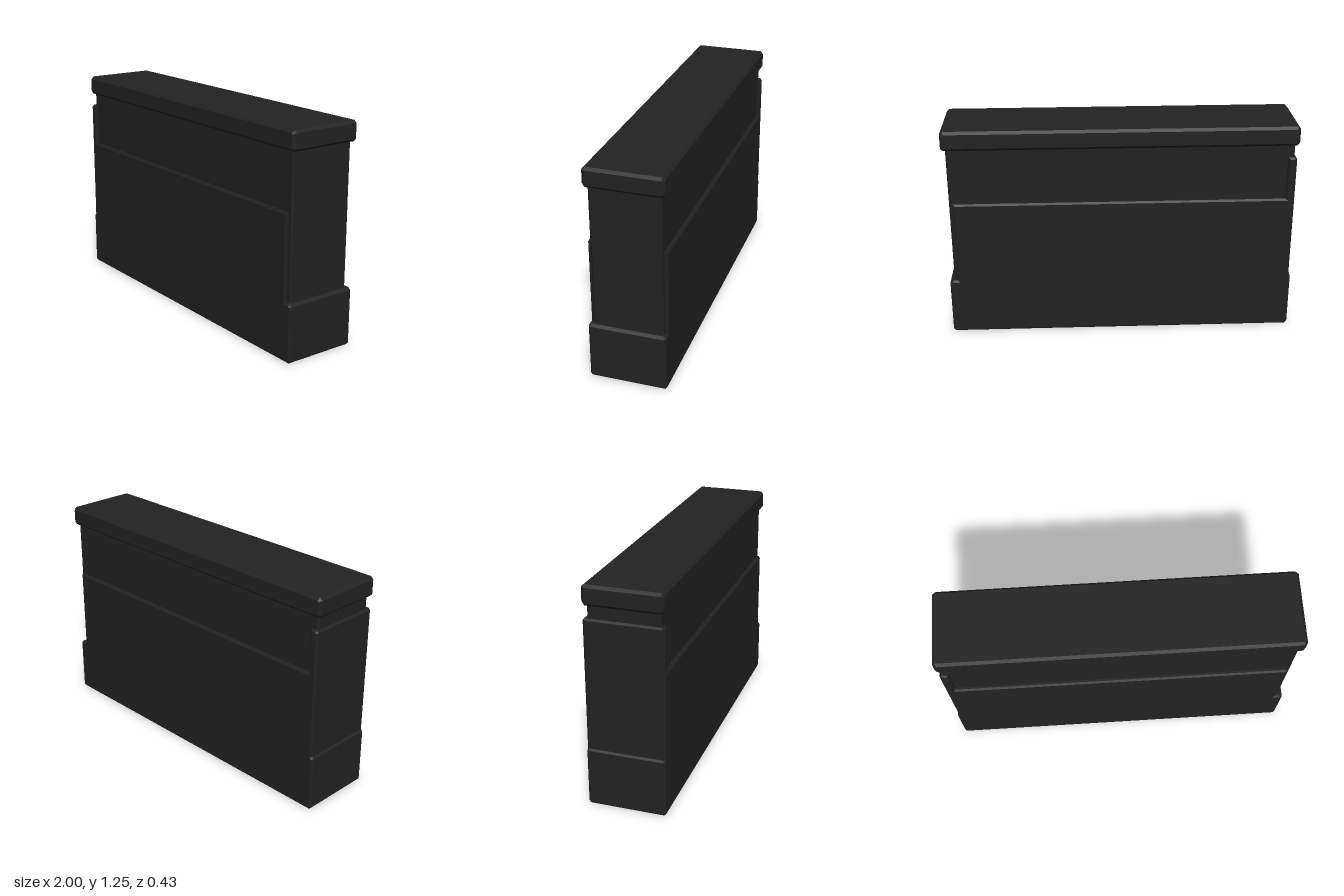
import * as THREE from 'three';

const casing = new THREE.MeshStandardMaterial({ color: 0x222222 });
casing.name = 'charcoal casing';

// Extrude a front outline to +-halfDepth with chamfered front and back rims
function slab(name, points, halfDepth, bevel) {
  const shape = new THREE.Shape(points.map(([x, y]) => new THREE.Vector2(x, y)));
  const depth = 2 * (halfDepth - bevel);
  const geometry = new THREE.ExtrudeGeometry(shape, {
    depth, bevelEnabled: true, bevelThickness: bevel, bevelSize: bevel,
    bevelOffset: -bevel, bevelSegments: 1,
  });
  geometry.translate(0, 0, -depth / 2);
  const mesh = new THREE.Mesh(geometry, casing);
  mesh.name = name;
  return mesh;
}

// Rectangle outline with cut corners
function cutRect(x0, x1, y0, y1, c) {
  return [
    [x0 + c, y0], [x1 - c, y0], [x1, y0 + c], [x1, y1 - c],
    [x1 - c, y1], [x0 + c, y1], [x0, y1 - c], [x0, y0 + c],
  ];
}

export function createModel() {
  const group = new THREE.Group();
  group.name = 'case';

  // Stepped outer shell: wide foot, low main panel, raised lip at one end
  group.add(slab('outerShell', [
    [-0.987, 0], [0.987, 0], [1, 0.013], [1, 0.32], [0.985, 0.333],
    [0.953, 0.333], [0.953, 0.818], [-0.942, 0.818], [-0.942, 1.068],
    [-0.98, 1.068], [-0.99, 1.058], [-0.99, 0.333], [-1, 0.323], [-1, 0.013],
  ], 0.217, 0.01));

  // Inner core, showing above the shell and at the cut-away end
  group.add(slab('innerCore', cutRect(-0.978, 0.976, 0.1, 1.16, 0.01), 0.196, 0.012));

  // Overhanging lid
  group.add(slab('lid', cutRect(-1, 1, 1.138, 1.25, 0.015), 0.217, 0.015));

  return group;
}
